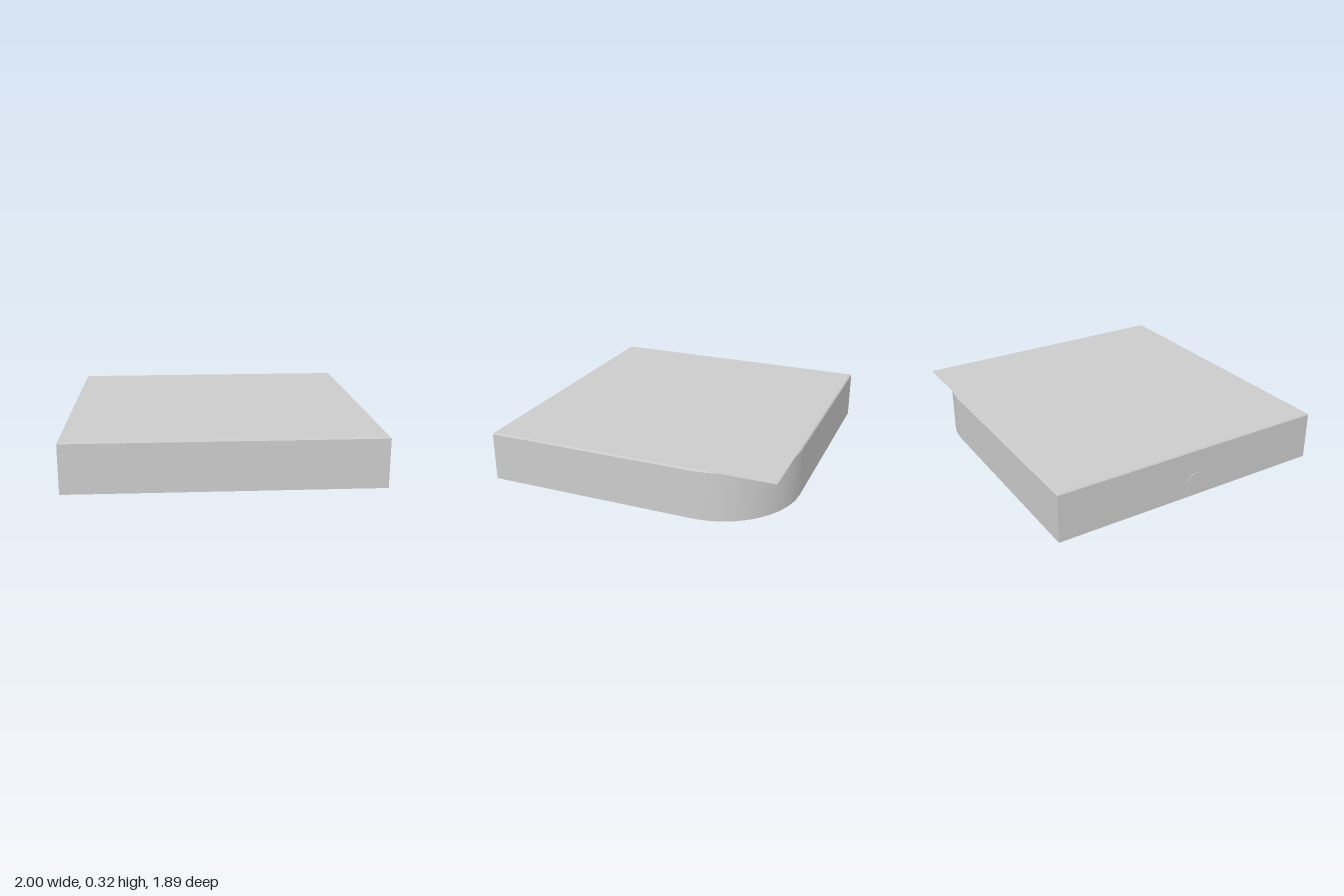
import * as THREE from 'three';

const material = new THREE.MeshStandardMaterial({ color: 0xcccccc, side: THREE.DoubleSide });

const X = 0.995, Z = 0.945;          // outer half sizes of the skirt
const LIP = 0.314, TOP = 0.324;      // top of the walls, height of the sheet
const RX = 0.53, RZ = 0.52;          // radii of the rounded back corner

// Strip of quads between two rows of points of equal length
function strip(lower, upper) {
  const pos = [], index = [];
  lower.forEach((p, i) => {
    pos.push(...p, ...upper[i]);
    if (i) {
      const a = 2 * (i - 1);
      index.push(a, a + 2, a + 3, a, a + 3, a + 1);
    }
  });
  const g = new THREE.BufferGeometry();
  g.setAttribute('position', new THREE.Float32BufferAttribute(pos, 3));
  g.setIndex(index);
  g.computeVertexNormals();
  return g;
}

export function createModel() {
  const group = new THREE.Group();
  const add = (name, geometry) => {
    const mesh = new THREE.Mesh(geometry, material);
    mesh.name = name;
    group.add(mesh);
    return mesh;
  };

  // Rounded corner plan, from the +x wall round to the back wall
  const arc = [];
  for (let i = 0; i <= 10; i++) {
    const a = (i / 10) * Math.PI / 2;
    arc.push([X - RX + RX * Math.cos(a), -Z + RZ - RZ * Math.sin(a)]);
  }

  // Plan of each wall, counter-clockwise seen from above
  const walls = {
    frontWall: [[-X, Z], [X, Z]],
    leftWall: [[X, Z], arc[0]],
    roundedCornerWall: arc,
    backWall: [arc[10], [-X, -Z]],
    rightWall: [[-X, -Z], [-X, Z]],
  };

  // Thin open skirt with a narrow bevel up to the top sheet
  const inset = 0.008;
  const row = (plan, y, s) => plan.map(([x, z]) => [x * (1 - s), y, z * (1 - s)]);
  for (const [name, plan] of Object.entries(walls)) {
    add(name, strip(row(plan, 0, 0), row(plan, LIP, 0)));
    add(name + 'Bevel', strip(row(plan, LIP, 0), row(plan, TOP, inset)));
  }

  // Flat top sheet, square over the rounded corner
  const sheet = new THREE.PlaneGeometry(2 * X * (1 - inset), 2 * Z * (1 - inset));
  sheet.rotateX(-Math.PI / 2);
  add('topSheet', sheet).position.y = TOP;

  // Small arched fitting in the middle of the right wall
  const w = 0.06, h = 0.09, depth = 0.016;
  const arch = new THREE.Shape();
  arch.moveTo(-w, 0);
  arch.lineTo(w, 0);
  arch.lineTo(w, h);
  arch.absarc(0, h, w, 0, Math.PI, false);
  arch.closePath();
  const fitting = new THREE.ExtrudeGeometry(arch, { depth, bevelEnabled: false, curveSegments: 8 });
  fitting.rotateY(-Math.PI / 2);
  add('archedFitting', fitting).position.set(-X + depth - 0.005, 0.01, 0.02);

  return group;
}
